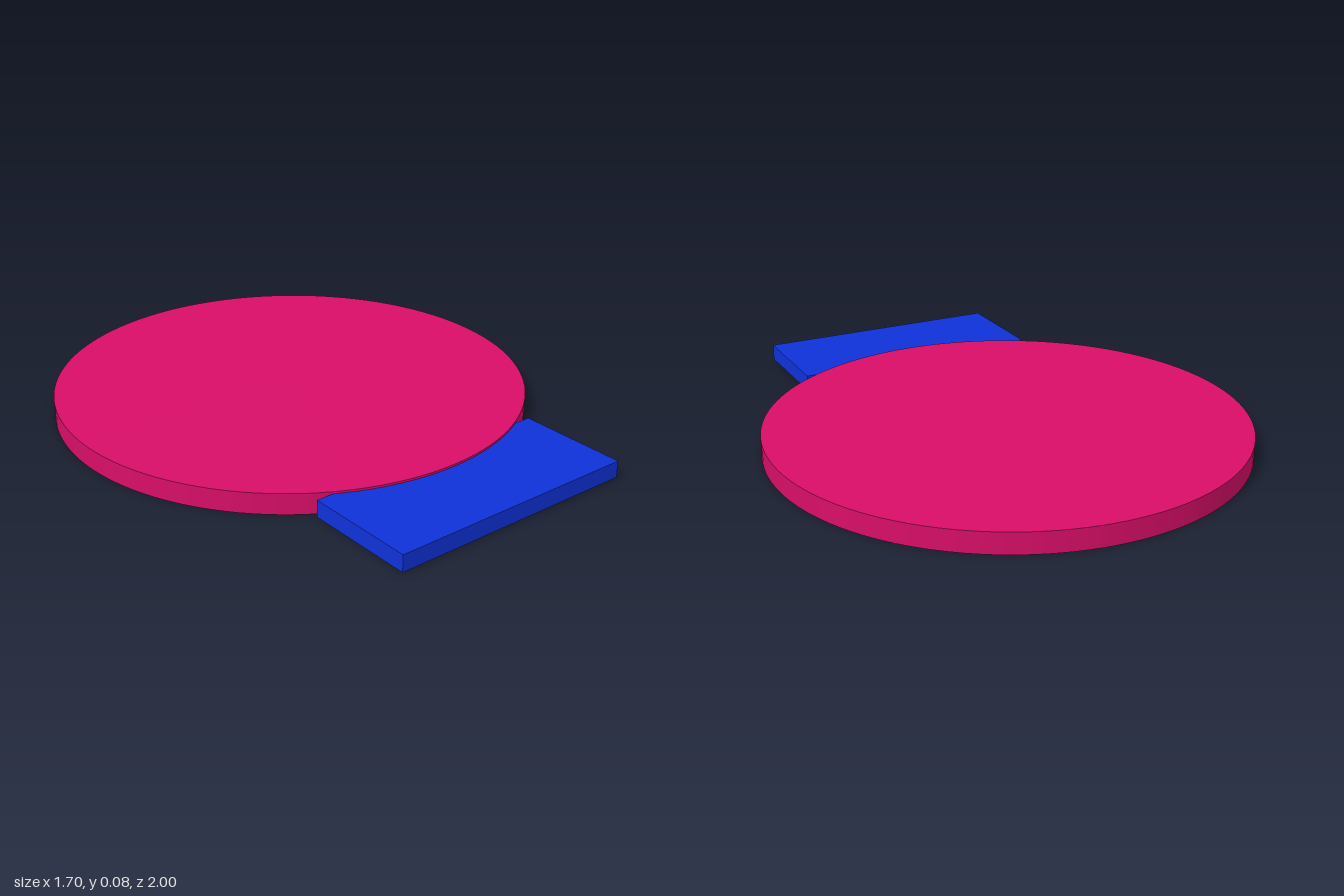
import * as THREE from 'three';

export function createModel() {
  const model = new THREE.Group();
  const add = (name, geometry, color, y, z) => {
    const mesh = new THREE.Mesh(geometry, new THREE.MeshStandardMaterial({ color }));
    mesh.name = name;
    mesh.position.set(0, y, z);
    model.add(mesh);
  };

  // Round flat disc
  add('disc', new THREE.CylinderGeometry(0.85, 0.85, 0.075, 128), 0xd80e68, 0.0375, -0.15);

  // Rectangular tab, slightly thinner than the disc and tucked into its front edge
  add('tab', new THREE.BoxGeometry(0.926, 0.06, 0.4), 0x0f32d8, 0.0375, 0.8);

  return model;
}
